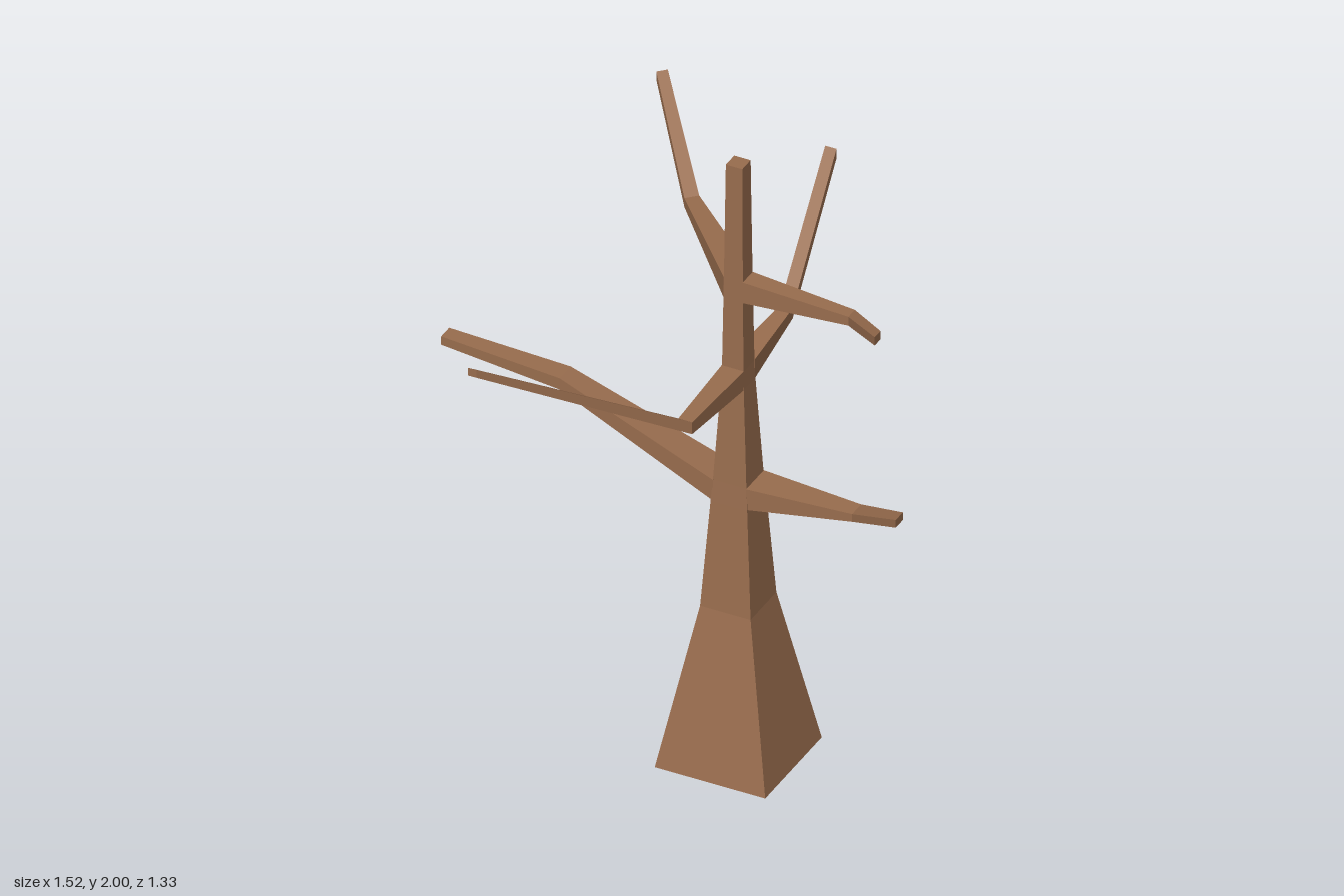
import * as THREE from 'three';

const bark = new THREE.MeshStandardMaterial({ color: 0x996d4e, flatShading: true });
bark.name = 'bark brown';

const TRUNK_X = 0.17, TRUNK_Z = -0.092;
const UP = new THREE.Vector3(0, 1, 0);

// Square-sided loft: sections are [x, y, z, halfU, halfV]; u cross v points along the path
function loft(name, sections, u, v) {
  const rings = sections.map(([x, y, z, a, b]) =>
    [[-a, -b], [a, -b], [a, b], [-a, b]].map(([s, t]) =>
      new THREE.Vector3(x, y, z).addScaledVector(u, s).addScaledVector(v, t)));
  const pos = [];
  const quad = (a, b, c, d) => [a, b, c, a, c, d].forEach(p => pos.push(p.x, p.y, p.z));
  for (let r = 0; r < rings.length - 1; r++) {
    const lo = rings[r], hi = rings[r + 1];
    for (let i = 0; i < 4; i++) {
      const j = (i + 1) % 4;
      quad(lo[i], lo[j], hi[j], hi[i]);
    }
  }
  quad(...[...rings[0]].reverse());
  quad(...rings[rings.length - 1]);
  const geo = new THREE.BufferGeometry();
  geo.setAttribute('position', new THREE.Float32BufferAttribute(pos, 3));
  geo.computeVertexNormals();
  const mesh = new THREE.Mesh(geo, bark);
  mesh.name = name;
  return mesh;
}

// Branch whose sections all face one horizontal direction (dx, dz)
function branch(name, dx, dz, sections) {
  const u = UP.clone().cross(new THREE.Vector3(dx, 0, dz).normalize());
  return loft(name, sections, u, UP);
}

export function createModel() {
  const tree = new THREE.Group();
  tree.name = 'bareTree';

  // Trunk: flared square base narrowing to a thin top, [height, half width]
  const trunk = [
    [0, 0.175], [0.52, 0.08], [0.87, 0.058], [0.94, 0.053],
    [1.26, 0.036], [1.32, 0.034], [1.55, 0.031], [1.62, 0.03], [2, 0.026],
  ].map(([y, h]) => [TRUNK_X, y, TRUNK_Z, h, h]);
  tree.add(loft('trunk', trunk, new THREE.Vector3(0, 0, 1), new THREE.Vector3(1, 0, 0)));

  // Low pair of branches
  tree.add(branch('lowerRightBranch', -1, 0, [
    [0.118, 0.905, TRUNK_Z, 0.055, 0.035],
    [-0.38, 1.1, -0.095, 0.034, 0.019],
    [-0.76, 1.126, -0.095, 0.025, 0.014],
  ]));
  tree.add(branch('lowerLeftBranch', 1, 0, [
    [0.222, 0.905, TRUNK_Z, 0.055, 0.035],
    [0.545, 0.925, -0.092, 0.028, 0.013],
    [0.757, 1.055, 0.058, 0.022, 0.013],
  ]));

  // Middle pair of branches
  tree.add(branch('frontBranch', 0, 1, [
    [TRUNK_X, 1.29, -0.058, 0.035, 0.032],
    [TRUNK_X, 1.3, 0.236, 0.022, 0.02],
    [-0.285, 1.598, 0.665, 0.014, 0.013],
  ]));
  tree.add(branch('backBranch', 0, -1, [
    [TRUNK_X, 1.29, -0.126, 0.035, 0.032],
    [TRUNK_X, 1.317, -0.39, 0.02, 0.017],
    [TRUNK_X, 1.695, -0.665, 0.018, 0.016],
  ]));

  // High pair of branches, one leaving the trunk at its back corner
  tree.add(branch('upperLeftBranch', 1, 0, [
    [0.198, 1.585, TRUNK_Z, 0.031, 0.035],
    [0.53, 1.584, -0.09, 0.02, 0.015],
    [0.72, 1.697, 0.12, 0.018, 0.014],
  ]));
  tree.add(branch('upperBackBranch', -1, -1, [
    [TRUNK_X, 1.585, TRUNK_Z, 0.043, 0.035],
    [-0.14, 1.585, -0.41, 0.022, 0.015],
    [-0.335, 1.838, -0.607, 0.017, 0.014],
  ]));

  return tree;
}
